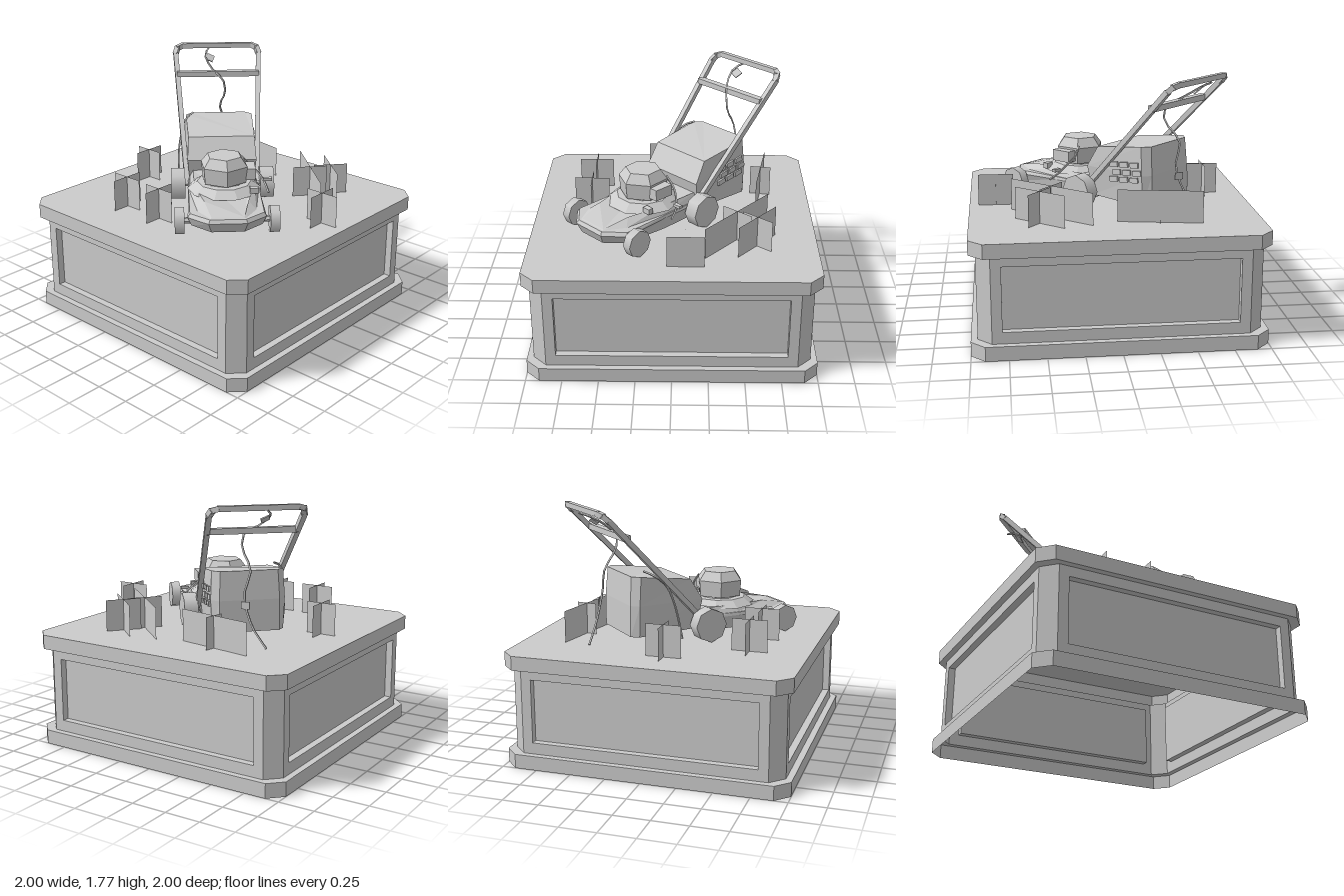
import * as THREE from 'three';

const mat = new THREE.MeshStandardMaterial({ color: 0xcccccc, flatShading: true });
const smooth = new THREE.MeshStandardMaterial({ color: 0xcccccc });
const thin = new THREE.MeshStandardMaterial({ color: 0xcccccc, flatShading: true, side: THREE.DoubleSide });
const V = (p) => new THREE.Vector3(...p);

function add(parent, name, geo, pos = [0, 0, 0], rot = [0, 0, 0], material = mat) {
  const m = new THREE.Mesh(geo, material);
  m.name = name;
  m.position.set(...pos);
  m.rotation.set(...rot);
  parent.add(m);
  return m;
}

const box = (...s) => new THREE.BoxGeometry(...s);

// Flat-sided skin through rings of [x, y, z], ordered front, +x, back, -x
function loft(rings, capBottom = true, capTop = true) {
  const pos = [], n = rings[0].length;
  const tri = (a, b, c) => pos.push(...a, ...b, ...c);
  for (let r = 0; r < rings.length - 1; r++) {
    const a = rings[r], b = rings[r + 1];
    for (let i = 0; i < n; i++) {
      const j = (i + 1) % n;
      tri(a[i], a[j], b[j]);
      tri(a[i], b[j], b[i]);
    }
  }
  const top = rings[rings.length - 1], low = rings[0];
  for (let i = 1; i < n - 1; i++) {
    if (capTop) tri(top[0], top[i], top[i + 1]);
    if (capBottom) tri(low[0], low[i + 1], low[i]);
  }
  const g = new THREE.BufferGeometry();
  g.setAttribute('position', new THREE.Float32BufferAttribute(pos, 3));
  g.computeVertexNormals();
  return g;
}

// Full ring from its +x half, listed front to back
const mirrorRing = (half) => [...half, ...half.slice().reverse().map(([x, y, z]) => [-x, y, z])];

// Square bar between two points
function beam(parent, name, a, b, w, h = w) {
  const A = V(a), B = V(b);
  const m = add(parent, name, box(w, h, A.distanceTo(B) + w * 0.4));
  m.position.copy(A).add(B).multiplyScalar(0.5);
  m.lookAt(B);
}

function cable(parent, name, pts) {
  const curve = new THREE.CatmullRomCurve3(pts.map(V));
  add(parent, name, new THREE.TubeGeometry(curve, pts.length * 2, 0.008, 4), undefined, undefined, thin);
}

function makePlinth() {
  const g = new THREE.Group();
  g.name = 'plinth';
  const c = 0.095, H = 0.955, e = H - c;
  const ring = (h, y) => mirrorRing([[h - c, y, h], [h, y, h - c], [h, y, c - h], [h - c, y, -h]]);
  // Hollow shell: top slab and open foot moulding
  add(g, 'topSlab', loft([ring(H, 0.7), ring(1, 0.7), ring(1, 0.8)], false), undefined, undefined, thin);
  add(g, 'footMoulding', loft([ring(1, 0), ring(1, 0.1), ring(H, 0.1)], false, false), undefined, undefined, thin);
  // Walls with a recessed panel, and chamfered corners
  const rect = (x, front, back, y) => mirrorRing([[x, y, front], [x, y, back]]);
  const wall = loft([rect(e, 0.3, -0.3, H), rect(0.79, 0.22, -0.23, H), rect(0.79, 0.22, -0.23, H - 0.05)], false);
  for (let i = 0; i < 4; i++) {
    const side = new THREE.Group();
    side.name = 'plinthSide';
    side.rotation.y = i * Math.PI / 2;
    g.add(side);
    add(side, 'panelledWall', wall, [0, 0.4, 0], [Math.PI / 2, 0, 0], thin);
    add(side, 'cornerColumn', new THREE.PlaneGeometry(c * Math.SQRT2, 0.6), [H - c / 2, 0.4, H - c / 2], [0, Math.PI / 4, 0], thin);
  }
  return g;
}

function makeMower() {
  const g = new THREE.Group();
  g.name = 'lawnMower';

  // Cutting deck, wide at the front wheels, with a tapering nose
  add(g, 'deck', loft([
    mirrorRing([[0.11, 0.06, 0.76], [0.24, 0.07, 0.66], [0.24, 0.05, 0.3], [0.23, 0.05, -0.03]]),
    mirrorRing([[0.13, 0.13, 0.79], [0.265, 0.13, 0.67], [0.255, 0.14, 0.3], [0.25, 0.14, -0.03]]),
    mirrorRing([[0.12, 0.155, 0.775], [0.25, 0.155, 0.66], [0.25, 0.16, 0.3], [0.24, 0.16, -0.03]]),
  ]));
  add(g, 'hood', loft([
    mirrorRing([[0.12, 0.15, 0.77], [0.2, 0.155, 0.62], [0.24, 0.16, 0.3], [0.235, 0.16, -0.03]]),
    mirrorRing([[0.11, 0.16, 0.75], [0.15, 0.2, 0.56], [0.21, 0.21, 0.3], [0.21, 0.21, -0.03]]),
  ]));
  add(g, 'deckDome', new THREE.CylinderGeometry(0.19, 0.26, 0.05, 10), [0, 0.215, 0.28], [0, Math.PI / 10, 0]);

  // Engine: collar, hexagonal housing, muffler
  add(g, 'engineCollar', new THREE.CylinderGeometry(0.13, 0.14, 0.06, 8), [0, 0.26, 0.28]);
  const cap = [[0, 0.25], [0.165, 0.25], [0.175, 0.365], [0.125, 0.43], [0, 0.43]].map((q) => new THREE.Vector2(...q));
  add(g, 'engineHousing', new THREE.LatheGeometry(cap, 6), [0, 0, 0.28], [0, 0.08, 0]);
  add(g, 'muffler', box(0.12, 0.08, 0.15), [0.155, 0.31, 0.28]);
  add(g, 'controlBlock', box(0.06, 0.04, 0.04), [0.2, 0.22, 0.42]);
  add(g, 'speedLever', box(0.06, 0.02, 0.03), [0.31, 0.23, 0.24]);

  // Wheels and axles
  for (const [z, r, w] of [[0.635, 0.097, 0.065], [0.01, 0.12, 0.1]]) {
    add(g, 'axle', new THREE.CylinderGeometry(0.022, 0.022, 0.62, 6), [0, r, z], [0, 0, Math.PI / 2]);
    for (const s of [-1, 1])
      add(g, 'wheel', new THREE.CylinderGeometry(r, r, w, 8), [s * 0.32, r, z], [0, 0, Math.PI / 2], smooth);
  }

  // Grass catcher with chamfered rear and slanted front
  add(g, 'grassCatcher', loft([
    mirrorRing([[0.23, 0.08, -0.04], [0.25, 0.07, -0.49], [0.21, 0.07, -0.54]]),
    mirrorRing([[0.25, 0.29, 0.0], [0.26, 0.29, -0.49], [0.21, 0.29, -0.54]]),
    mirrorRing([[0.24, 0.44, -0.09], [0.25, 0.49, -0.475], [0.2, 0.49, -0.525]]),
  ]));
  for (let row = 0; row < 3; row++)
    for (let i = 0; i < 3; i++)
      add(g, 'catcherVent', box(0.015, 0.036, 0.068), [0.26, 0.235 + row * 0.052 + i * 0.008, -0.25 - i * 0.088 - (row % 2) * 0.025], [0.15, 0, 0]);

  // Push handle with rounded upper corners
  const side = [[0.255, 0.13, 0.01], [0.318, 0.9, -0.735], [0.303, 0.935, -0.77], [0.265, 0.948, -0.79]];
  for (const s of [-1, 1])
    for (let i = 0; i < 3; i++)
      beam(g, 'handleSide', ...[side[i], side[i + 1]].map(([x, y, z]) => [s * x, y, z]), 0.036);
  beam(g, 'handleGrip', [-0.265, 0.948, -0.79], [0.265, 0.948, -0.79], 0.036);
  beam(g, 'handleCrossbar', [-0.3, 0.775, -0.6], [0.3, 0.775, -0.6], 0.05, 0.04);
  return g;
}

function makeGrass() {
  const g = new THREE.Group();
  g.name = 'grassCards';
  // x, z, width, width of crossing card, turn
  const tufts = [
    [0.09, 0.81, 0.25, 0.25, 0], [0.58, 0.52, 0.42, 0.25, 0.87], [0.445, 0.435, 0.7, 0.25, 0.87],
    [0.645, -0.29, 0.58, 0.15, 1.4], [-0.59, -0.41, 0.25, 0.25, 0],
    [-0.075, -0.715, 0.25, 0.22, 0], [-0.6, -0.08, 0.25, 0.25, 0],
  ];
  for (const [x, z, w, w2, turn] of tufts) {
    add(g, 'grassCard', new THREE.PlaneGeometry(w, 0.225), [x, 0.912, z], [0, turn, 0], thin);
    add(g, 'grassCard', new THREE.PlaneGeometry(w2, 0.225), [x, 0.912, z], [0, turn + Math.PI / 2, 0], thin);
  }
  return g;
}

export function createModel() {
  const model = new THREE.Group();
  model.name = 'mowerOnPlinth';
  const mower = makeMower();
  mower.position.set(-0.016, 0.8, -0.016);
  mower.rotation.y = -Math.PI / 4;
  model.add(makePlinth(), mower, makeGrass());

  // Loose cables and tags
  cable(model, 'handleCable', [[0.54, 1.73, -0.64], [0.44, 1.69, -0.6], [0.39, 1.62, -0.5], [0.38, 1.54, -0.36],
    [0.39, 1.45, -0.35], [0.44, 1.31, -0.45], [0.47, 1.15, -0.42], [0.49, 0.95, -0.49], [0.5, 0.81, -0.61]]);
  cable(model, 'sideCable', [[0.15, 1.32, -0.46], [0.07, 1.29, -0.46], [0, 1.23, -0.43], [-0.06, 1.08, -0.41], [-0.1, 0.84, -0.37]]);
  cable(model, 'engineCable', [[-0.05, 1.18, 0.2], [0, 1.11, 0.24], [0.02, 1.06, 0.3], [0.02, 1.0, 0.36], [-0.01, 0.95, 0.42]]);
  add(model, 'handleTag', box(0.06, 0.008, 0.06), [0.46, 1.665, -0.57], [0.5, 0.6, 0.3]);
  add(model, 'cableTag', box(0.008, 0.05, 0.06), [0.49, 1.08, -0.44], [0, 0.3, 0]);
  return model;
}
